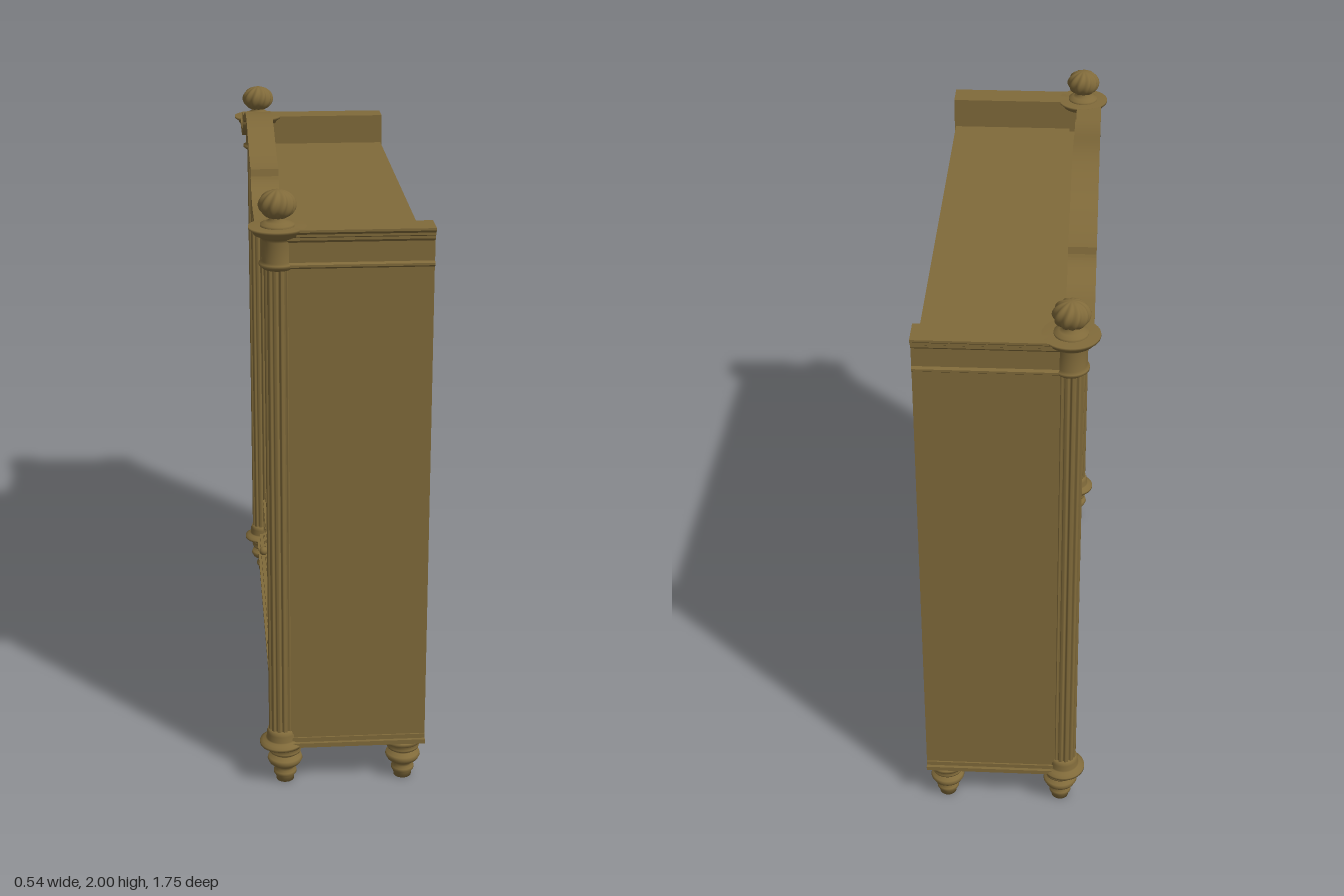
import * as THREE from 'three';

const wood = new THREE.MeshStandardMaterial({ color: 0x806a3a });
const blue = new THREE.MeshStandardMaterial({ color: 0x0f1f66 });
const POST_X = -0.185, POST_Z = 0.79;

export function createModel() {
  const root = new THREE.Group();
  root.name = 'bookcase';

  const add = (name, geo, mat = wood, parent = root) => {
    const mesh = new THREE.Mesh(geo, mat);
    mesh.name = name;
    parent.add(mesh);
    return mesh;
  };
  // Box given by its limits on each axis
  const box = (name, x0, x1, y0, y1, z0, z1, mat = wood) => {
    const m = add(name, new THREE.BoxGeometry(x1 - x0, y1 - y0, z1 - z0), mat);
    m.position.set((x0 + x1) / 2, (y0 + y1) / 2, (z0 + z1) / 2);
    return m;
  };
  // Outline of [-z, y] points pushed along x
  const extrudeX = (name, pts, x0, x1) => {
    const shape = new THREE.Shape(pts.map(([u, v]) => new THREE.Vector2(u, v)));
    const geo = new THREE.ExtrudeGeometry(shape, { depth: x1 - x0, bevelEnabled: false });
    add(name, geo.rotateY(Math.PI / 2).translate(x0, 0, 0));
  };
  const lathe = (pts) => new THREE.LatheGeometry(pts.map(([r, y]) => new THREE.Vector2(r, y)), 40);

  // Carcass
  box('backPanel', 0.245, 0.264, 0.15, 1.74, -0.765, 0.765);
  box('topBoard', -0.17, 0.266, 1.71, 1.74, -0.765, 0.765);
  box('bottomBoard', -0.21, 0.27, 0.14, 0.155, -0.835, 0.835);
  box('baseRail', -0.2, 0.27, 0.155, 0.17, -0.825, 0.825);
  [1.43, 1.08, 0.73, 0.4].forEach((y) => box('shelf', -0.155, 0.25, y - 0.05, y, -0.765, 0.765));

  // Pediment: shaped board with a stepped cornice following its top edge
  const crest = (z) => {
    const a = Math.abs(z);
    if (a > 0.6) return 1.84;
    if (a > 0.44) return 1.84 + 0.085 * (1 - Math.sqrt(1 - ((0.6 - a) / 0.16) ** 2));
    return 1.925 + 0.0375 * (1 + Math.cos(Math.PI * a / 0.44));
  };
  const zs = [-0.755];
  for (let i = -120; i <= 120; i++) zs.push(i * 0.005);
  zs.push(0.755);
  const topEdge = zs.map((z) => [z, crest(z)]);
  extrudeX('pediment', [[-0.755, 1.69], ...topEdge, [0.755, 1.69]], -0.205, -0.165);
  [[0.025, -0.25], [0.045, -0.23]].forEach(([drop, x]) => {
    const lower = topEdge.map(([z, y]) => [z, y - drop]).reverse();
    extrudeX('pedimentCornice', [...topEdge, ...lower], x, -0.204);
  });

  // Drawers: framed fronts with a raised field and a knob
  box('drawerRail', -0.165, 0.2, 0.165, 0.38, -0.76, 0.76);
  const frame = (w, h, t) => {
    const rect = (P, a, b) => new P().setFromPoints([[-a, -b], [a, -b], [a, b], [-a, b]]
      .map(([u, v]) => new THREE.Vector2(u, v)));
    const s = rect(THREE.Shape, w / 2, h / 2);
    s.holes.push(rect(THREE.Path, w / 2 - t, h / 2 - t));
    return new THREE.ExtrudeGeometry(s, { depth: 0.012, bevelEnabled: false }).rotateY(-Math.PI / 2);
  };
  for (const s of [-1, 1]) {
    const z = s * 0.365;
    box('drawerFront', -0.178, -0.16, 0.18, 0.365, z - 0.34, z + 0.34);
    add('drawerFrame', frame(0.62, 0.15, 0.015)).position.set(-0.176, 0.272, z);
    add('drawerInnerFrame', frame(0.54, 0.085, 0.01)).position.set(-0.174, 0.272, z);
    const knob = add('drawerKnob', new THREE.SphereGeometry(0.016, 20, 14));
    knob.position.set(-0.198, 0.272, z);
    const stem = add('knobStem', new THREE.CylinderGeometry(0.007, 0.009, 0.02, 16).rotateZ(Math.PI / 2));
    stem.position.set(-0.184, 0.272, z);
  }

  // Fluted shaft: scallops cut into a cylinder
  const shaft = new THREE.CylinderGeometry(0.041, 0.041, 1.55, 96, 1, true);
  const sp = shaft.attributes.position;
  for (let i = 0; i < sp.count; i++) {
    const a = Math.atan2(sp.getZ(i), sp.getX(i));
    const k = 1 - 0.17 * Math.max(0, Math.cos(a * 12)) ** 0.7;
    sp.setX(i, sp.getX(i) * k);
    sp.setZ(i, sp.getZ(i) * k);
  }
  shaft.computeVertexNormals();

  // Finial knob with spiral ridges
  const swirl = new THREE.SphereGeometry(0.052, 80, 32);
  const fp = swirl.attributes.position;
  for (let i = 0; i < fp.count; i++) {
    const x = fp.getX(i), y = fp.getY(i), z = fp.getZ(i);
    const a = Math.atan2(z, x), r = Math.hypot(x, z);
    const k = 1 + 0.08 * Math.cos(10 * a + 55 * y) * Math.min(1, r / 0.02);
    fp.setXYZ(i, x * k, y * 0.83, z * k);
  }
  swirl.computeVertexNormals();

  const columnBase = lathe([[0, 0.139], [0.07, 0.139], [0.07, 0.147], [0.06, 0.152], [0.052, 0.158],
    [0.048, 0.16], [0.048, 0.18], [0.045, 0.184], [0.043, 0.194], [0.03, 0.194]]);
  const capital = lathe([[0.03, 1.715], [0.043, 1.715], [0.055, 1.725], [0.055, 1.733], [0.046, 1.738],
    [0.046, 1.8], [0.05, 1.808], [0.06, 1.814], [0.07, 1.818], [0.072, 1.825], [0.085, 1.834],
    [0.085, 1.841], [0, 1.841]]);
  const finialStand = lathe([[0.05, 1.84], [0.05, 1.848], [0.035, 1.854], [0.024, 1.86], [0.024, 1.872]]);
  const foot = lathe([[0, 0], [0.028, 0], [0.03, 0.018], [0.036, 0.024], [0.036, 0.034], [0.028, 0.04],
    [0.032, 0.052], [0.05, 0.064], [0.056, 0.076], [0.053, 0.086], [0.036, 0.092], [0.036, 0.098],
    [0.05, 0.104], [0.053, 0.112], [0.046, 0.12], [0.058, 0.127], [0.06, 0.14], [0, 0.14]]);

  // Side crown moulding, [z, y]
  const crown = [[0.76, 1.72], [0.825, 1.72], [0.833, 1.726], [0.833, 1.733], [0.824, 1.738], [0.824, 1.798],
    [0.832, 1.806], [0.832, 1.814], [0.838, 1.818], [0.838, 1.825], [0.85, 1.834], [0.85, 1.841], [0.76, 1.841]];

  for (const s of [-1, 1]) {
    box('sidePanel', -0.175, 0.27, 0.15, 1.74, s * 0.79 - 0.03, s * 0.79 + 0.03);
    box('crownBlock', -0.17, -0.14, 1.74, 1.839, s * 0.75 - 0.012, s * 0.75 + 0.012);
    const profile = crown.map(([z, y]) => [-s * z, y]);
    extrudeX('sideCrown', profile, -0.17, 0.27);

    const column = new THREE.Group();
    column.name = 'cornerColumn';
    column.position.set(POST_X, 0, s * POST_Z);
    root.add(column);
    add('columnShaft', shaft, wood, column).position.y = 0.955;
    add('columnBase', columnBase, wood, column);
    add('columnCapital', capital, wood, column);
    add('finialStand', finialStand, wood, column);
    add('finial', swirl, wood, column).position.y = 1.904;

    for (const x of [-0.175, 0.205]) add('foot', foot).position.set(x, 0, s * 0.78);
  }

  // Books: upright rows, flat stacks and leaning volumes
  let seed = 7;
  const rnd = () => (seed = (seed * 16807) % 2147483647) / 2147483647;
  const row = (y, z0, z1) => {
    const n = Math.round((z1 - z0) / 0.04), w = (z1 - z0) / n;
    for (let i = 0; i < n; i++) {
      const z = z0 + i * w;
      box('book', rnd() * 0.025, 0.205, y, y + 0.165 + rnd() * 0.04, z, z + w - 0.002, blue);
    }
  };
  const stack = (y, z0, z1, n) => {
    for (let i = 0; i < n; i++) {
      box('flatBook', rnd() * 0.03, 0.205, y + i * 0.036, y + i * 0.036 + 0.034,
        z0 + rnd() * 0.03, z1 - rnd() * 0.03, blue);
    }
  };
  // Book resting on one lower edge, tilted about x
  const leaning = (y, z, angle) => {
    const geo = new THREE.BoxGeometry(0.19, 0.19, 0.03).translate(0, 0.095, angle > 0 ? -0.015 : 0.015);
    const m = add('leaningBook', geo, blue);
    m.position.set(0.105, y + 0.03 * Math.sin(Math.abs(angle)), z);
    m.rotation.x = angle;
  };
  row(1.43, 0.18, 0.74);
  stack(1.43, -0.36, 0, 3);
  stack(1.08, 0.36, 0.74, 4);
  row(1.08, -0.74, -0.4);
  leaning(1.08, -0.3, -0.35);
  row(0.73, 0.2, 0.74);
  row(0.73, -0.74, -0.22);
  leaning(0.73, -0.02, 0.95);
  leaning(0.73, 0.05, 0.7);
  row(0.4, 0.13, 0.74);

  return root;
}
